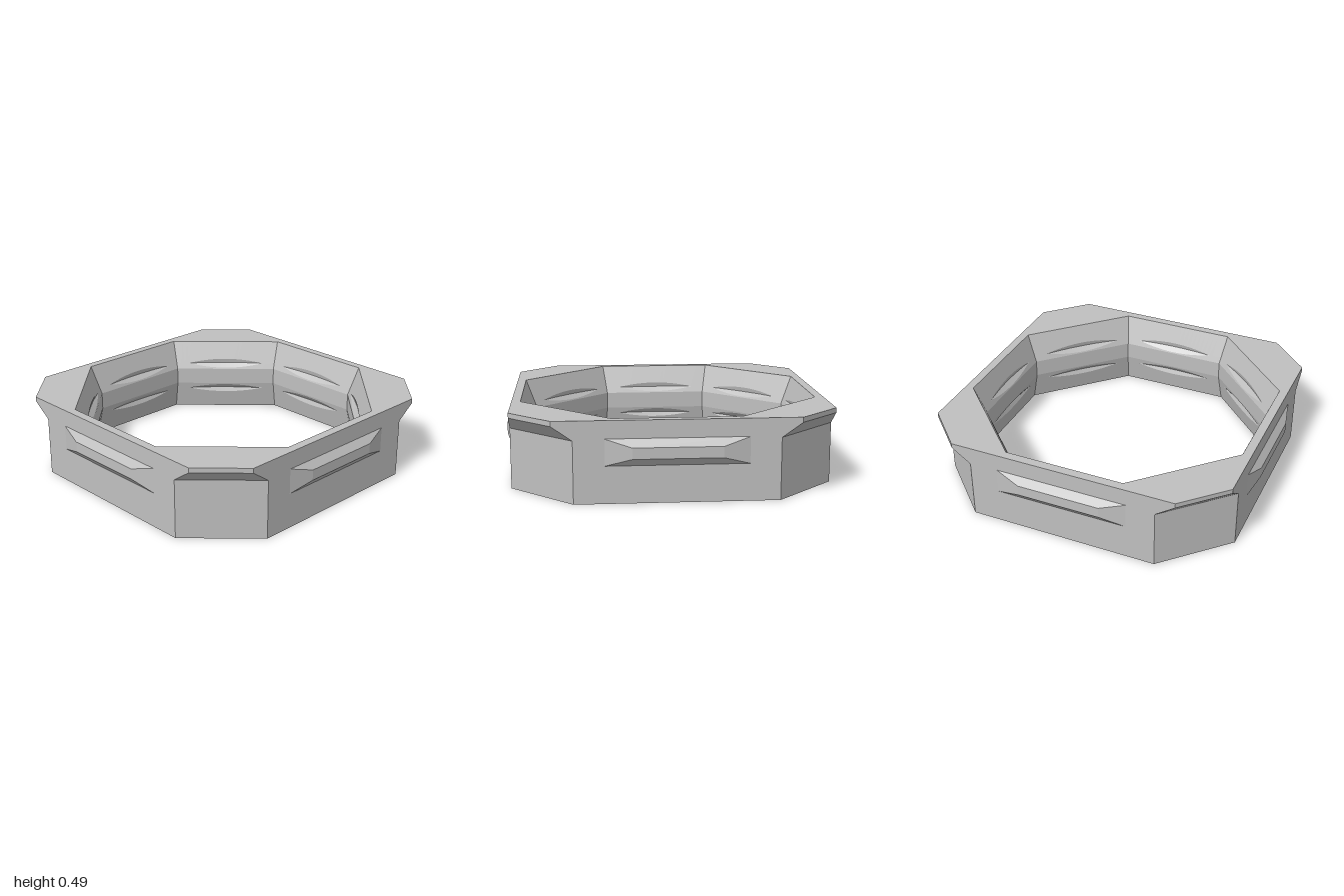
import * as THREE from 'three';

const V = (x, y, z) => new THREE.Vector3(x, y, z);

// Skins a list of equally long point rows with flat-shaded quads
function loft(rows) {
  const pts = [];
  for (let j = 0; j < rows.length - 1; j++) {
    for (let i = 0; i < rows[j].length - 1; i++) {
      const a = rows[j][i], b = rows[j][i + 1];
      const d = rows[j + 1][i], c = rows[j + 1][i + 1];
      pts.push(a, d, b, b, d, c);
    }
  }
  const geo = new THREE.BufferGeometry().setFromPoints(pts);
  geo.computeVertexNormals();
  return geo;
}

// Closed eight-cornered ring: flats at distance f, corners at offset c
function octagon(f, c, y) {
  const ring = [];
  for (let k = 0; k < 4; k++) {
    const turn = (x, z) => [[x, z], [-z, x], [-x, -z], [z, -x]][k];
    for (const [x, z] of [[f, c], [c, f]]) {
      const [px, pz] = turn(x, z);
      ring.push(V(px, y, pz));
    }
  }
  ring.push(ring[0].clone());
  return ring;
}

const TAN = Math.tan(Math.PI / 8);
const innerRing = (ap, y) => octagon(ap, ap * TAN, y);

// Apothem of the inner wall at a given height
function innerApothem(y) {
  if (y > 0.3) return 0.84 + (y - 0.3) / 0.185 * 0.07;
  if (y < 0.19) return 0.88 - y / 0.19 * 0.04;
  return 0.84;
}

// One inner facet with two shallow lens-shaped grooves
function innerFacet() {
  const columns = 24;
  const rowSpecs = [
    [0.485, 0, 0],
    [0.338, 1, 0], [0.338, 0, 1], [0.338, -1, 0],
    [0.3, 0, 0], [0.19, 0, 0],
    [0.15, 1, 0], [0.15, 0, 1], [0.15, -1, 0],
    [0, 0, 0],
  ];
  return loft(rowSpecs.map(([y0, edge, deep]) => {
    const row = [];
    for (let i = 0; i <= columns; i++) {
      const t = (i / columns) * 2 - 1;
      const bulge = Math.max(0, 1 - (t / 0.75) ** 2);
      const y = y0 + edge * 0.03 * bulge;
      const ap = innerApothem(y);
      row.push(V(ap + deep * 0.018 * bulge, y, t * ap * TAN));
    }
    return row;
  }));
}

// Raised panel with bevelled edges, facing +z
function raisedPanel() {
  const ring = (x, lo, hi, z) =>
    [V(x, hi, z), V(x, lo, z), V(-x, lo, z), V(-x, hi, z), V(x, hi, z)];
  return loft([
    ring(0.42, 0.22, 0.38, 0.964),
    ring(0.26, 0.266, 0.332, 1.0),
    ring(0, 0.299, 0.299, 1.0),
  ]);
}

export function createModel() {
  const model = new THREE.Group();
  model.name = 'octagonalRing';
  const grey = new THREE.MeshStandardMaterial({ color: 0xc0c0c0 });
  grey.name = 'grey';

  const add = (name, geo, angle = 0) => {
    const mesh = new THREE.Mesh(geo, grey);
    mesh.name = name;
    mesh.rotation.y = angle;
    model.add(mesh);
  };

  // Outer wall with corners flaring to the rim, and the flat top
  add('outerWall', loft([
    octagon(0.965, 0.595, 0),
    octagon(0.965, 0.595, 0.37),
    octagon(0.965, 0.715, 0.455),
    octagon(0.965, 0.715, 0.485),
    innerRing(0.91, 0.485),
  ]));

  // Underside
  add('underside', loft([innerRing(0.88, 0), octagon(0.965, 0.595, 0)]));

  // Eight inner facets
  const facet = innerFacet();
  for (let k = 0; k < 8; k++) add('innerFacet' + (k + 1), facet, k * Math.PI / 4);

  // Raised panels on the four long sides
  const panel = raisedPanel();
  ['front', 'left', 'back', 'right'].forEach((side, k) =>
    add(side + 'Panel', panel, k * Math.PI / 2));

  return model;
}
